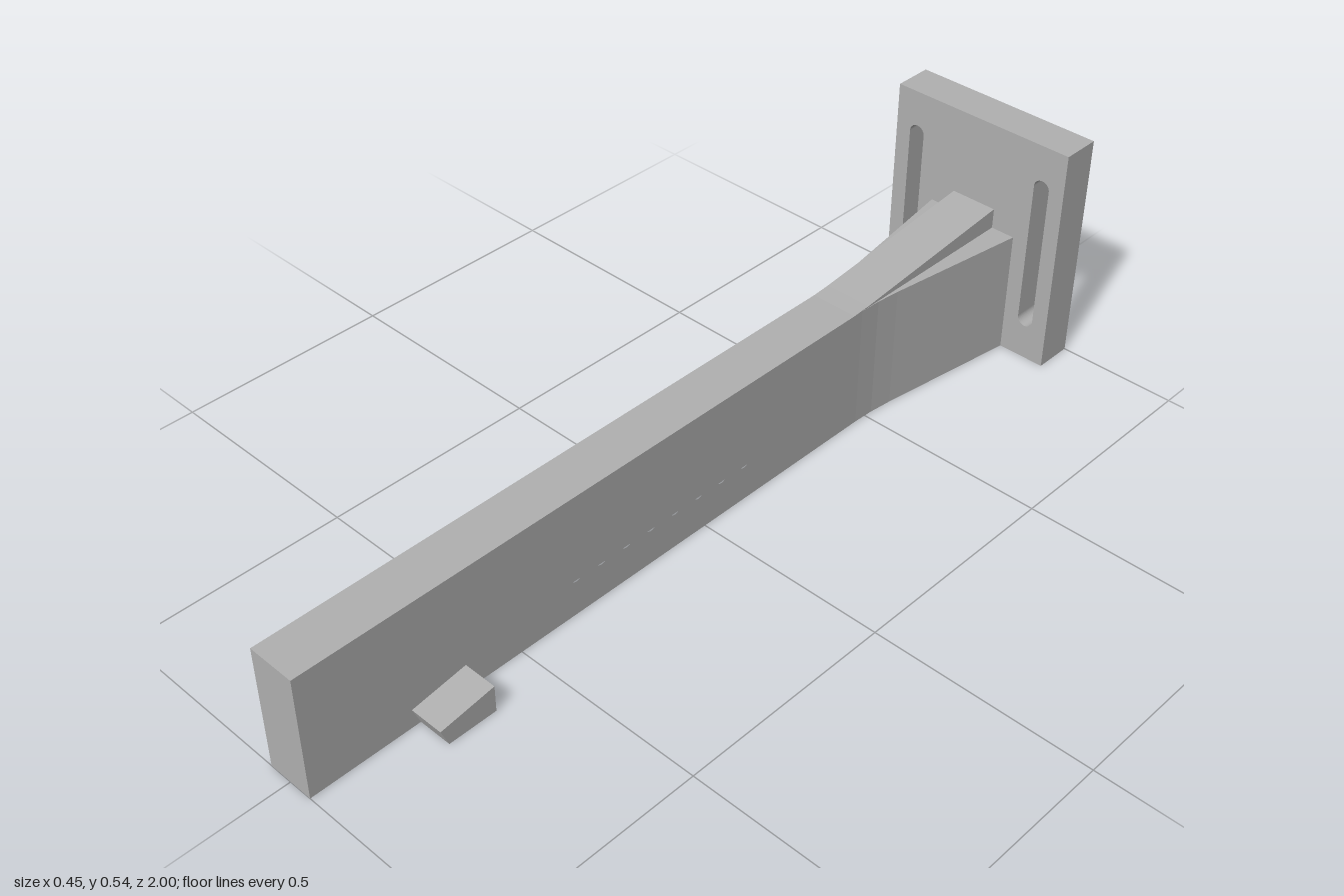
import * as THREE from 'three';

const grey = new THREE.MeshStandardMaterial({ color: 0xb0b0b0 });
grey.name = 'grey plastic';

const shapeOf = (pts) => new THREE.Shape(pts.map(([a, b]) => new THREE.Vector2(a, b)));
const extrude = (shape, depth) =>
  new THREE.ExtrudeGeometry(shape, { depth, bevelEnabled: false, curveSegments: 12 });

function part(name, geometry) {
  const mesh = new THREE.Mesh(geometry, grey);
  mesh.name = name;
  return mesh;
}

// Side profile given as [z, y], swept from x0 to x1
function sideExtrude(pts, holes, x0, x1) {
  const shape = shapeOf(pts.map(([z, y]) => [-z, y]));
  shape.holes.push(...holes);
  return extrude(shape, x1 - x0).rotateY(Math.PI / 2).translate(x0, 0, 0);
}

function ellipseHole(z, y, rz, ry) {
  const path = new THREE.Path();
  path.absellipse(-z, y, rz, ry, 0, Math.PI * 2, true);
  return path;
}

function hexHole(z, y, r) {
  const pts = [];
  for (let i = 0; i < 6; i++) {
    const a = Math.PI / 2 - (i * Math.PI) / 3;
    pts.push(new THREE.Vector2(-z + r * Math.cos(a), y + r * Math.sin(a)));
  }
  return new THREE.Path(pts);
}

function slotHole(x, y0, y1, r) {
  const path = new THREE.Path();
  path.absarc(x, y1 - r, r, 0, Math.PI, false);
  path.absarc(x, y0 + r, r, Math.PI, Math.PI * 2, false);
  path.closePath();
  return path;
}

export function createModel() {
  const model = new THREE.Group();
  model.name = 'bracketArm';
  const W = 0.055, H = 0.29, BACK = -0.91, POCKET = 0.04;

  // Mounting plate with two long slots
  const plateShape = shapeOf([[-0.224, 0], [0.224, 0], [0.224, 0.538], [-0.224, 0.538]]);
  for (const s of [-1, 1]) plateShape.holes.push(slotHole(s * 0.168, 0.082, 0.456, 0.019));
  model.add(part('mountingPlate', extrude(plateShape, 0.09).translate(0, 0, -1)));

  // Arm in two layers: round bolt hole, then hexagonal nut pocket
  const profile = [[1, 0], [1, H], [-0.445, H], [-0.49, 0.293], [BACK, 0.337], [BACK, 0]];
  const rowHoles = () =>
    Array.from({ length: 8 }, (_, i) => ellipseHole(0.355 - i * 0.067, 0.105, 0.018, 0.022));
  model.add(part('armBody', sideExtrude(profile,
    [...rowHoles(), ellipseHole(0.778, 0.158, 0.022, 0.022)], -W + POCKET, W)));
  model.add(part('armNutSide', sideExtrude(profile,
    [...rowHoles(), hexHole(0.778, 0.158, 0.036)], -W, -W + POCKET)));

  // Flared gussets where the arm meets the plate
  for (const s of [-1, 1]) {
    const wing = [[W, -0.47], [0.057, -0.52], [0.063, -0.575], [0.112, BACK], [W, BACK]];
    const shape = shapeOf(wing.map(([x, z]) => [s * x, -z]));
    model.add(part(s > 0 ? 'leftGusset' : 'rightGusset', extrude(shape, H).rotateX(-Math.PI / 2)));
  }

  // Small wedge tab near the front
  model.add(part('sideTab', sideExtrude(
    [[0.748, 0], [0.765, 0.043], [0.635, 0.063], [0.635, 0]], [], W, 0.133)));

  return model;
}
